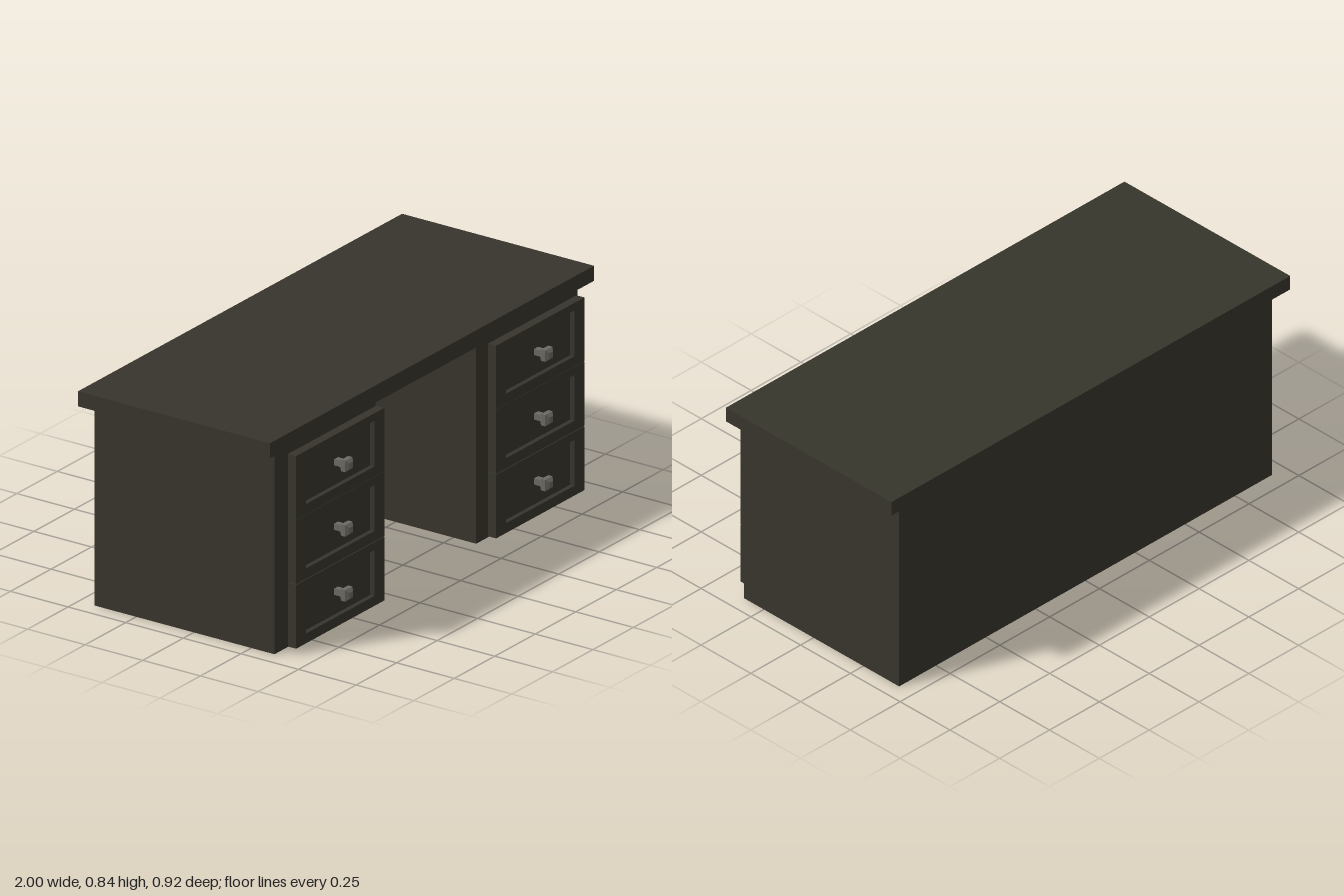
import * as THREE from 'three';

const wood = new THREE.MeshStandardMaterial({ color: 0x37352c });
wood.name = 'darkWood';
const metal = new THREE.MeshStandardMaterial({ color: 0x6b6a64, flatShading: true });
metal.name = 'greyMetal';
const lining = new THREE.MeshStandardMaterial({ color: 0x6c6a64 });
lining.name = 'greyLining';

// Box given by its min and max corners
function box(name, [x0, y0, z0], [x1, y1, z1], material = wood) {
  const mesh = new THREE.Mesh(new THREE.BoxGeometry(x1 - x0, y1 - y0, z1 - z0), material);
  mesh.position.set((x0 + x1) / 2, (y0 + y1) / 2, (z0 + z1) / 2);
  mesh.name = name;
  return mesh;
}

// Rectangular frame in the XY plane, extruded along +z
function frame(w, h, holeW, holeH, depth, holeY = 0) {
  const rect = (P, a, b, cy) => {
    const p = new P();
    p.moveTo(-a / 2, cy - b / 2);
    p.lineTo(a / 2, cy - b / 2);
    p.lineTo(a / 2, cy + b / 2);
    p.lineTo(-a / 2, cy + b / 2);
    p.closePath();
    return p;
  };
  const shape = rect(THREE.Shape, w, h, 0);
  shape.holes.push(rect(THREE.Path, holeW, holeH, holeY));
  return new THREE.ExtrudeGeometry(shape, { depth, bevelEnabled: false });
}

// Upright tube standing on y = 0: the frame's y axis becomes -z
function uprightFrame(name, ...size) {
  const mesh = new THREE.Mesh(frame(...size).rotateX(-Math.PI / 2), wood);
  mesh.name = name;
  return mesh;
}

// Square knob with a neck, pointing to +z
function makeKnob() {
  const k = Math.SQRT2;
  const profile = [[0.012, -0.03], [0.012, 0.003], [0.022, 0.014], [0.022, 0.032], [0.011, 0.043], [0, 0.043]]
    .map(([r, y]) => new THREE.Vector2(r * k, y));
  const geo = new THREE.LatheGeometry(profile, 4, Math.PI / 4).rotateX(Math.PI / 2);
  const knob = new THREE.Mesh(geo, metal);
  knob.name = 'knob';
  return knob;
}

// Drawer front: framed panel with a knob
function makeDrawerFront(y0, y1, knobY) {
  const g = new THREE.Group();
  g.name = 'drawerFront';
  const cy = (y0 + y1) / 2;
  const rim = new THREE.Mesh(frame(0.545, y1 - y0, 0.42, 0.176, 0.035, knobY - cy), wood);
  rim.position.set(0, cy, 0.375);
  rim.name = 'drawerRim';
  const panel = box('drawerPanel', [-0.212, knobY - 0.09, 0.376], [0.212, knobY + 0.09, 0.392]);
  const knob = makeKnob();
  knob.position.set(0, knobY, 0.415);
  g.add(rim, panel, knob);
  return g;
}

export function createModel() {
  const desk = new THREE.Group();
  desk.name = 'desk';

  // Top, back panel and kneehole rail
  desk.add(box('desktop', [-1, 0.782, -0.457], [1, 0.84, 0.376]));
  desk.add(box('backPanel', [-0.31, 0, -0.43], [0.31, 0.782, -0.37]));
  desk.add(box('kneeholeCeiling', [-0.31, 0.755, -0.37], [0.31, 0.782, 0.35]));

  for (const side of [-1, 1]) {
    const pedestal = new THREE.Group();
    pedestal.name = side > 0 ? 'leftPedestal' : 'rightPedestal';

    // Hollow carcass, open underneath
    const carcass = uprightFrame('carcass', 0.625, 0.78, 0.505, 0.66, 0.782);
    carcass.position.set(side * 0.6225, 0, -0.04);
    pedestal.add(carcass);

    const drawers = new THREE.Group();
    drawers.name = 'drawers';
    drawers.position.set(side * 0.62, 0, side < 0 ? 0.004 : 0);
    const rows = [[0.022, 0.267, 0.148], [0.27, 0.517, 0.398], [0.518, 0.763, 0.646]];
    rows.forEach(([y0, y1, knobY], i) => {
      drawers.add(makeDrawerFront(y0, y1, knobY));
      const low = [0.031, 0.28, 0.528][i];
      // Drawer bodies reach through the carcass to the fronts
      if (i > 0) drawers.add(box('drawerBody', [-0.21, low, -0.27], [0.21, low + 0.203, 0.376]));
    });

    // Lowest drawer shows its rim and inset floor from below
    const body = uprightFrame('drawerBody', 0.42, 0.646, 0.36, 0.56, 0.204);
    body.position.set(0, 0.031, 0.053);
    drawers.add(body);
    drawers.add(box('drawerFloor', [-0.18, 0.08, -0.227], [0.18, 0.095, 0.333], lining));
    pedestal.add(drawers);
    desk.add(pedestal);
  }
  return desk;
}
